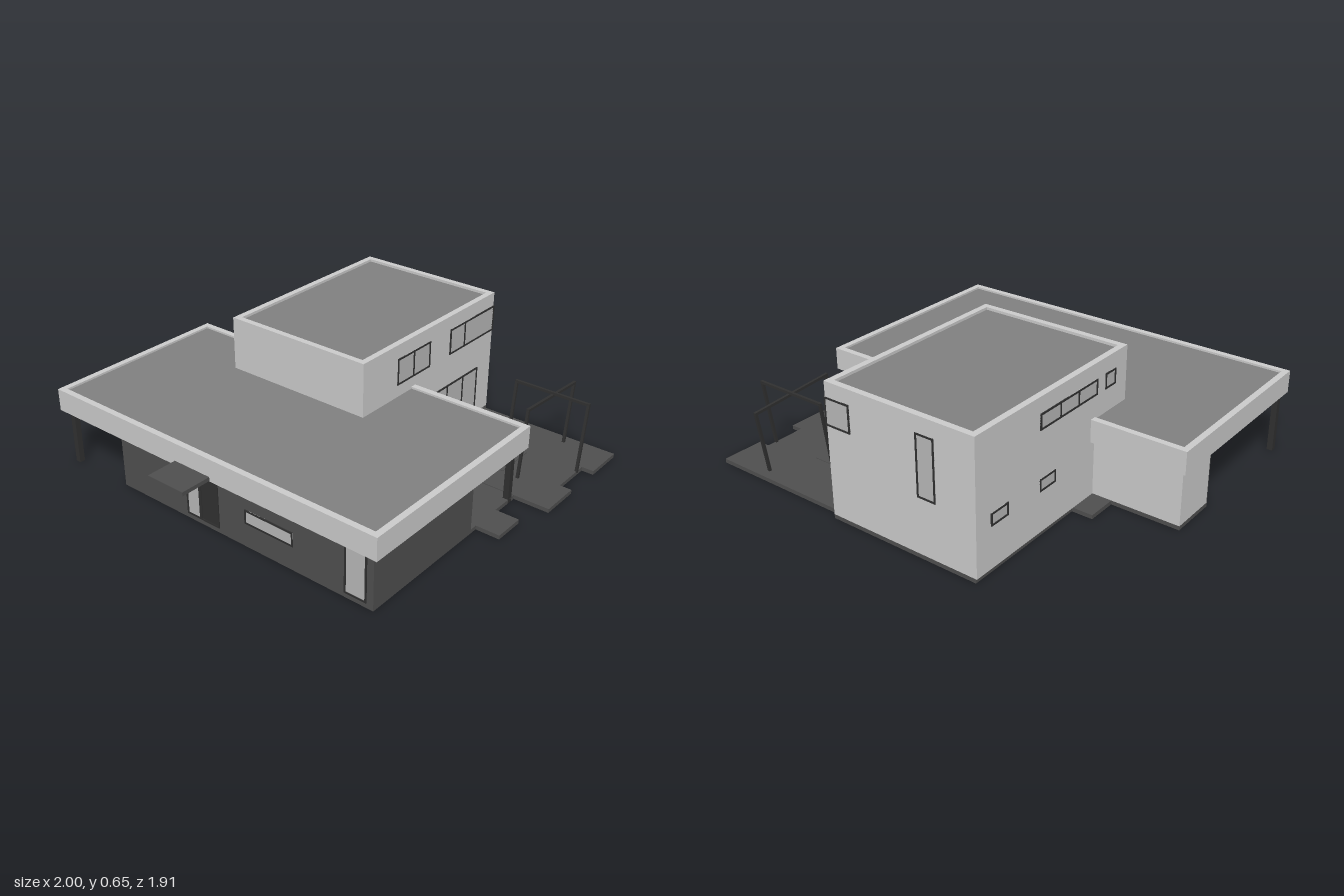
import * as THREE from 'three';

const mat = (color) => new THREE.MeshStandardMaterial({ color });
const light = mat(0xcccccc), dark = mat(0x4f4f4f), deck = mat(0x808080);
const glass = mat(0xb8b8b8), trim = mat(0x303030);

export function createModel() {
  const house = new THREE.Group();
  house.name = 'house';

  const add = (name, geometry, material, parent = house) => {
    const mesh = new THREE.Mesh(geometry, material);
    mesh.name = name;
    parent.add(mesh);
    return mesh;
  };

  // Box given by its limits on each axis
  const block = (name, material, [x0, x1], [y0, y1], [z0, z1], parent) => {
    const mesh = add(name, new THREE.BoxGeometry(x1 - x0, y1 - y0, z1 - z0), material, parent);
    mesh.position.set((x0 + x1) / 2, (y0 + y1) / 2, (z0 + z1) / 2);
    return mesh;
  };

  // Upright slab from a plan outline of [x, z] points, with an optional opening
  const slab = (name, material, outline, y0, y1, opening) => {
    const points = (list) => list.map(([x, z]) => new THREE.Vector2(x, -z));
    const shape = new THREE.Shape(points(outline));
    if (opening) shape.holes.push(new THREE.Path(points(opening)));
    const geometry = new THREE.ExtrudeGeometry(shape, { depth: y1 - y0, bevelEnabled: false });
    geometry.rotateX(-Math.PI / 2);
    add(name, geometry, material).position.y = y0;
  };

  // Straight square bar between two points
  const bar = (name, a, b, size, parent) => {
    const from = new THREE.Vector3(...a), to = new THREE.Vector3(...b);
    const mesh = add(name, new THREE.BoxGeometry(size, size, from.distanceTo(to) + size), trim, parent);
    mesh.position.copy(from).add(to).multiplyScalar(0.5);
    mesh.lookAt(to);
  };

  // Framed pane on a wall; a0..a1 runs along x or z, mullions are further positions on that axis
  const turns = { front: 0, right: Math.PI / 2, back: Math.PI, left: -Math.PI / 2 };
  const pane = (name, side, plane, a0, a1, y0, y1, mullions = [], fill = glass) => {
    const g = new THREE.Group();
    g.name = name;
    g.rotation.y = turns[side];
    const sign = side === 'right' || side === 'back' ? -1 : 1;
    const out = side === 'back' || side === 'left' ? -plane : plane;
    const [u0, u1] = [a0 * sign, a1 * sign].sort((a, b) => a - b);
    const t = 0.004, depth = [out - 0.01, out + 0.005];
    block('glass', fill, [u0, u1], [y0, y1], [out - 0.01, out + 0.002], g);
    for (const u of [u0 + t, u1 - t, ...mullions.map((m) => m * sign)])
      block('frameUpright', trim, [u - t, u + t], [y0, y1], depth, g);
    for (const y of [y0 + t, y1 - t])
      block('frameRail', trim, [u0, u1], [y - t, y + t], depth, g);
    house.add(g);
  };

  // Ground slabs
  block('mainFloor', dark, [-0.635, 0.82], [0, 0.02], [-0.29, 0.75]);
  block('towerFloor', dark, [-0.53, 0.25], [0, 0.02], [-0.95, -0.29]);
  block('wingFloor', dark, [-0.975, -0.635], [0, 0.02], [-0.14, 0.1]);

  // Terrace paving in staggered rows
  for (const [x, z0, z1] of [[1, -0.92, -0.712], [0.94, -0.712, -0.502], [1, -0.502, -0.295]])
    block('terraceRow', dark, [0.25, x], [0, 0.02], [z0, z1]);
  block('sideStep', dark, [0.82, 0.94], [0, 0.02], [-0.14, 0.02]);
  block('terracePanel', dark, [0.38, 0.67], [0.02, 0.023], [-0.66, -0.44]);

  // Ground floor walls
  block('mainWalls', dark, [-0.635, 0.82], [0.02, 0.3], [0.06, 0.75]);
  block('recessedWalls', light, [-0.53, 0.6], [0.02, 0.3], [-0.14, 0.06]);
  block('wingWalls', light, [-0.975, -0.53], [0.02, 0.3], [-0.14, 0.095]);
  block('wingFront', dark, [-0.975, -0.635], [0.02, 0.3], [0.095, 0.1]);

  // Lower roof: rim and sunken deck
  slab('lowerRoofRim', light,
    [[-1, 0.8], [0.87, 0.8], [0.87, -0.295], [0, -0.295], [0, -0.17], [-1, -0.17]], 0.29, 0.4,
    [[-0.97, 0.77], [0.84, 0.77], [0.84, -0.265], [0.03, -0.265], [0.03, -0.14], [-0.97, -0.14]]);
  slab('lowerRoofDeck', deck,
    [[-0.97, 0.77], [0.84, 0.77], [0.84, -0.265], [0.03, -0.265], [0.03, -0.14], [-0.97, -0.14]], 0.292, 0.39);

  // Two-storey tower with parapet
  block('towerWalls', light, [-0.535, 0.25], [0.02, 0.63], [-0.95, 0.1]);
  slab('towerParapet', light,
    [[-0.535, 0.1], [0.25, 0.1], [0.25, -0.95], [-0.535, -0.95]], 0.63, 0.655,
    [[-0.505, 0.07], [0.22, 0.07], [0.22, -0.92], [-0.505, -0.92]]);
  block('towerDeck', deck, [-0.505, 0.22], [0.62, 0.642], [-0.92, 0.07]);

  // Roof posts
  block('frontPost', trim, [-0.985, -0.957], [0, 0.29], [0.73, 0.758]);
  block('rearPost', trim, [0.792, 0.82], [0, 0.29], [-0.272, -0.244]);

  // Entrance and canopy
  block('canopy', dark, [-0.223, -0.015], [0.293, 0.312], [0.75, 0.955]);
  pane('entranceSidelight', 'front', 0.75, -0.215, -0.13, 0.025, 0.29);
  pane('entranceDoor', 'front', 0.75, -0.13, -0.02, 0.025, 0.29, [], trim);

  // Ground floor windows
  pane('frontWindow', 'front', 0.75, 0.135, 0.405, 0.12, 0.19);
  pane('frontTallWindow', 'front', 0.75, 0.675, 0.787, 0.025, 0.285);
  pane('sideGlassDoor', 'right', 0.6, -0.14, 0.06, 0.022, 0.288);
  pane('rearGlassWall', 'back', -0.14, 0.26, 0.6, 0.022, 0.288, [0.43]);
  pane('terraceDoors', 'right', 0.25, -0.83, -0.3, 0.022, 0.288, [-0.43, -0.565, -0.7]);

  // Upper windows
  pane('upperSideWindow', 'right', 0.25, -0.405, -0.15, 0.452, 0.585, [-0.275]);
  pane('cornerWindowSide', 'right', 0.25, -0.953, -0.57, 0.452, 0.585, [-0.695]);
  pane('cornerWindowBack', 'back', -0.95, 0.115, 0.253, 0.452, 0.585);
  pane('tallBackWindow', 'back', -0.95, -0.335, -0.24, 0.29, 0.58);
  pane('stripWindow', 'left', -0.535, -0.54, -0.13, 0.505, 0.58, [-0.4, -0.27]);
  pane('smallUpperWindow', 'left', -0.535, -0.07, 0.01, 0.505, 0.58);
  for (const z of [-0.86, -0.54])
    pane('smallLowerWindow', 'left', -0.535, z, z + 0.11, 0.22, 0.28);

  // Terrace frame of two crossing leaning arches
  const frame = new THREE.Group();
  frame.name = 'terraceFrame';
  house.add(frame);
  const arches = [
    [[0.753, 0.02, -0.435], [0.753, 0.36, -0.48], [0.753, 0.33, -0.912], [0.753, 0.02, -0.868]],
    [[0.555, 0.02, -0.663], [0.555, 0.355, -0.708], [0.937, 0.355, -0.708], [0.937, 0.02, -0.663]],
  ];
  for (const arch of arches)
    for (let i = 0; i < 3; i++) bar('frameBar', arch[i], arch[i + 1], 0.013, frame);

  return house;
}
